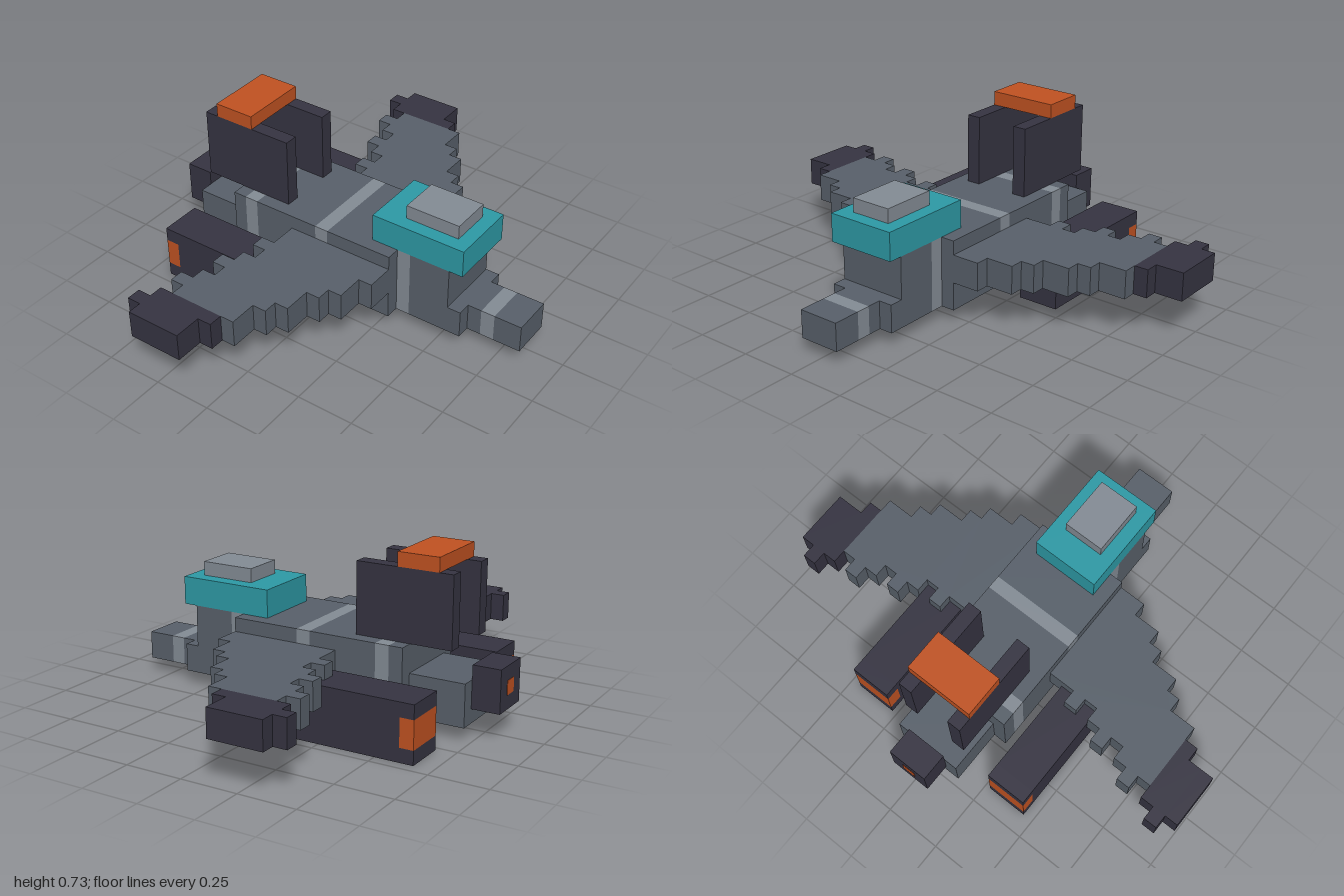
import * as THREE from 'three';

// One block of the design grid: the wingspan is 33 blocks = 2 units.
const U = 2 / 33;

const paint = (name, color) => {
  const m = new THREE.MeshStandardMaterial({ color });
  m.name = name;
  return m;
};

export function createModel() {
  const hull = paint('hullGrey', 0x59616b);
  const panel = paint('panelLightGrey', 0x858d96);
  const dark = paint('darkMetal', 0x363442);
  const orange = paint('orange', 0xc25322);
  const teal = paint('canopyTeal', 0x2e9ba7);

  const ship = new THREE.Group();
  ship.name = 'blockSpaceship';

  // Box given by its extents, in blocks
  function block(name, mat, [x0, x1], [y0, y1], [z0, z1], parent = ship) {
    const geo = new THREE.BoxGeometry((x1 - x0) * U, (y1 - y0) * U, (z1 - z0) * U);
    const mesh = new THREE.Mesh(geo, mat);
    mesh.position.set((x0 + x1) * U / 2, (y0 + y1) * U / 2, (z0 + z1) * U / 2);
    mesh.name = name;
    parent.add(mesh);
    return mesh;
  }

  // Fuselage slices along z: half width, bottom, top, back, front, material
  [
    ['noseTip', 1.5, 1, 3, 12, 14, hull],
    ['noseBand', 1.5, 1, 3, 11, 12, panel],
    ['noseRoot', 1.5, 1, 3, 10, 11, hull],
    ['noseStep', 2.5, 1, 3, 9, 10, hull],
    ['cockpitBase', 2.5, 1, 6, 6, 9, hull],
    ['cockpitBand', 2.5, 1, 6, 5, 6, panel],
    ['frontBody', 3.5, 1, 6, 0, 5, hull],
    ['middleBand', 3.5, 1, 6, -1, 0, panel],
    ['rearBody', 3.5, 1, 6, -6, -1, hull],
    ['rearBand', 3.5, 1, 6, -7, -6, panel],
    ['bodyEnd', 3.5, 1, 6, -8, -7, hull],
    ['tailBoom', 2.5, 1, 4, -12, -8, hull],
    ['tailThruster', 1.5, 2, 5, -14, -12, dark],
  ].forEach(([name, w, y0, y1, z0, z1, mat]) => block(name, mat, [-w, w], [y0, y1], [z0, z1]));
  block('tailLight', orange, [-0.5, 0.5], [3, 4], [-14.03, -13.98]);

  // Canopy with its roof plate
  block('canopy', teal, [-2.5, 2.5], [6, 8], [3, 10]);
  block('canopyRoof', panel, [-1.5, 1.5], [8, 9], [5, 9]);

  // Stepped wing slab from columns of [outer x, back z, front z]
  function wingSlab(name, mat, side, innerX, columns) {
    const front = [], back = [];
    let x = innerX;
    for (const [outer, zBack, zFront] of columns) {
      front.push([x, zFront], [outer, zFront]);
      back.push([x, zBack], [outer, zBack]);
      x = outer;
    }
    const outline = [...front, ...back.reverse()]
      .filter((p, i, a) => i === 0 || p[0] !== a[i - 1][0] || p[1] !== a[i - 1][1])
      .map(([px, pz]) => new THREE.Vector2(side * px * U, -pz * U));
    const geo = new THREE.ExtrudeGeometry(new THREE.Shape(outline), { depth: 2 * U, bevelEnabled: false });
    geo.rotateX(-Math.PI / 2);
    const mesh = new THREE.Mesh(geo, mat);
    mesh.position.y = 3 * U;
    mesh.name = name;
    ship.add(mesh);
  }

  for (const side of [1, -1]) {
    const label = side > 0 ? 'left' : 'right';
    const span = (a, b) => (side > 0 ? [a, b] : [-b, -a]);

    // Wing and dark wing tip
    wingSlab(label + 'Wing', hull, side, 3.5, [
      [5.5, -3, 5], [6.5, -4, 4], [7.5, -3, 4], [8.5, -4, 3], [9.5, -5, 2],
      [10.5, -4, 2], [11.5, -5, 1], [12.5, -6, 0], [13.5, -5, 0],
    ]);
    wingSlab(label + 'WingTip', dark, side, 13.5, [
      [14.5, -6, -1], [15.5, -7, -2], [16.5, -6, -2],
    ]);

    // Engine pod with a glowing exhaust between two lips
    const pod = new THREE.Group();
    pod.name = label + 'Engine';
    ship.add(pod);
    const px = span(4.5, 7.5);
    block('engineHousing', dark, px, [0, 4], [-10, -1], pod);
    block('lowerLip', dark, px, [0, 1], [-11, -10], pod);
    block('upperLip', dark, px, [3, 4], [-11, -10], pod);
    block('exhaust', orange, px, [1, 3], [-11, -10], pod);

    // Upright tail fin
    block(label + 'Fin', dark, span(1.5, 2.5), [6, 11], [-11, -4]);
  }

  // Bridge across the fins
  block('finBridge', orange, [-2.5, 2.5], [11, 12], [-10, -7]);

  return ship;
}
